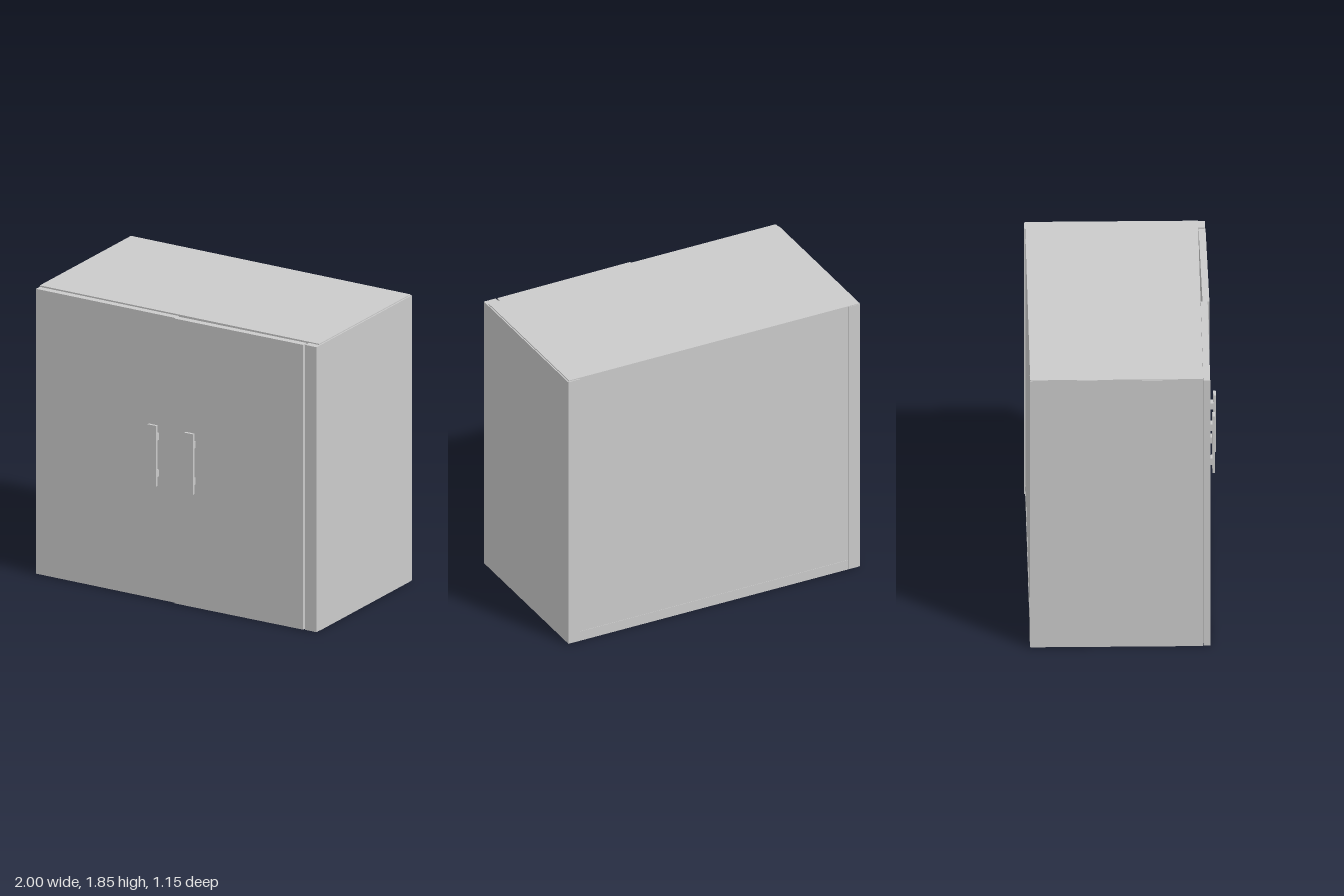
import * as THREE from 'three';

const material = new THREE.MeshStandardMaterial({ color: 0xcccccc, flatShading: true });

// Box given by its extents along each axis
function board(parent, name, [x0, x1], [y0, y1], [z0, z1]) {
  const mesh = new THREE.Mesh(new THREE.BoxGeometry(x1 - x0, y1 - y0, z1 - z0), material);
  mesh.name = name;
  mesh.position.set((x0 + x1) / 2, (y0 + y1) / 2, (z0 + z1) / 2);
  parent.add(mesh);
  return mesh;
}

// Flat grip on two short posts, standing on a door face at z = 0
function makeHandle(name) {
  const handle = new THREE.Group();
  handle.name = name;
  board(handle, 'grip', [-0.031, 0.031], [-0.195, 0.195], [0.026, 0.042]);
  for (const y of [-0.12, 0.115]) {
    board(handle, 'post', [-0.024, 0.024], [y - 0.022, y + 0.022], [-0.002, 0.027]);
  }
  return handle;
}

// Door hung from x = 0, its front face at z = 0, with its handle
function makeDoor(name, width, handleX) {
  const door = new THREE.Group();
  door.name = name;
  board(door, 'doorPanel', [0, width], [0.004, 1.836], [-0.042, 0]);
  const handle = makeHandle('doorHandle');
  handle.position.set(handleX, 0.938, 0);
  door.add(handle);
  return door;
}

export function createModel() {
  const cabinet = new THREE.Group();
  cabinet.name = 'cabinet';

  // Carcass
  board(cabinet, 'rightSide', [-1, -0.922], [0.002, 1.84], [-0.572, 0.476]);
  board(cabinet, 'leftSide', [0.92, 1], [0.005, 1.838], [-0.576, 0.52]);
  board(cabinet, 'top', [-0.998, 0.992], [1.775, 1.845], [-0.57, 0.477]);
  board(cabinet, 'bottom', [-0.998, 0.995], [0, 0.065], [-0.57, 0.475]);
  board(cabinet, 'back', [-0.93, 0.93], [0.05, 1.79], [-0.568, -0.525]);

  // Interior
  board(cabinet, 'divider', [-0.04, 0.04], [0.06, 1.78], [-0.53, 0.47]);
  board(cabinet, 'rightShelf', [-0.925, -0.035], [0.96, 1.03], [-0.53, 0.45]);

  // Right door lies over the carcass edge; left door stands slightly ajar
  const rightDoor = makeDoor('rightDoor', 0.993, 0.851);
  rightDoor.position.set(-0.998, 0, 0.52);
  cabinet.add(rightDoor);

  const leftDoor = makeDoor('leftDoor', 0.912, 0.126);
  leftDoor.position.set(-0.006, 0, 0.531);
  leftDoor.rotation.y = 0.01;
  cabinet.add(leftDoor);

  return cabinet;
}
